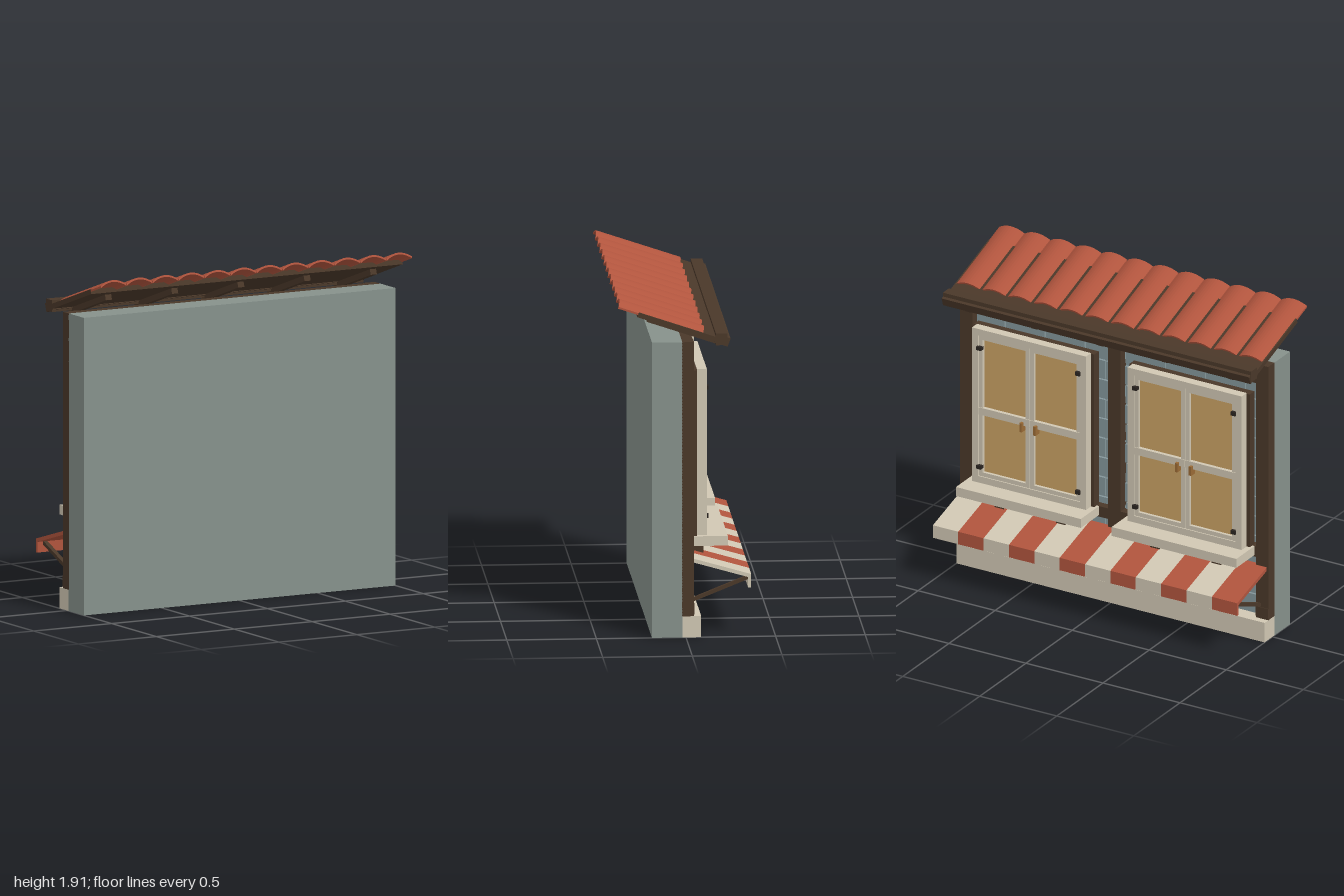
import * as THREE from 'three';

const mat = (name, color, side = THREE.FrontSide) => {
  const m = new THREE.MeshStandardMaterial({ color, side });
  m.name = name;
  return m;
};

export function createModel() {
  const model = new THREE.Group();
  model.name = 'shopFacade';

  const plaster = mat('plaster', 0x86918b);
  const brick = mat('brick', 0x84969a);
  const timber = mat('timber', 0x4a3829);
  const cream = mat('cream', 0xd0c7b3);
  const red = mat('terracotta', 0xb0543d);
  const pane = mat('pane', 0xcaa264);
  const iron = mat('iron', 0x2a2420);
  const brass = mat('brass', 0x9a6a35);

  const add = (parent, name, geometry, material) => {
    const m = new THREE.Mesh(geometry, material);
    m.name = name;
    parent.add(m);
    return m;
  };
  // Box given by its limits on each axis
  const box = (parent, name, material, [x0, x1], [y0, y1], [z0, z1]) => {
    const m = add(parent, name, new THREE.BoxGeometry(x1 - x0, y1 - y0, z1 - z0), material);
    m.position.set((x0 + x1) / 2, (y0 + y1) / 2, (z0 + z1) / 2);
    return m;
  };
  // Rectangular frame with an opening, from z0 to z1
  const frame = (parent, name, material, [x0, x1], [y0, y1], [z0, z1], w) => {
    const rect = (s, a, b, c, d) => s.moveTo(a, c).lineTo(b, c).lineTo(b, d).lineTo(a, d).closePath();
    const shape = rect(new THREE.Shape(), x0, x1, y0, y1);
    shape.holes.push(rect(new THREE.Path(), x0 + w, x1 - w, y0 + w, y1 - w));
    const g = new THREE.ExtrudeGeometry(shape, { depth: z1 - z0, bevelEnabled: false });
    g.translate(0, 0, z0);
    return add(parent, name, g, material);
  };

  // Wall and plinth
  box(model, 'wall', plaster, [-1, 1], [0, 1.68], [0.02, 0.19]);
  box(model, 'plinth', cream, [-1, 1], [0, 0.12], [-0.085, 0.02]);

  // Staggered brick courses between the posts
  const bricks = new THREE.Group();
  bricks.name = 'bricks';
  model.add(bricks);
  const course = 0.12, length = 0.26, gap = 0.008;
  for (let r = 0; r < 12; r++) {
    const y = 0.12 + r * course;
    for (let x = -0.95 - (r % 2) * length / 2; x < 0.95; x += length) {
      const a = Math.max(x, -0.95), b = Math.min(x + length, 0.95) - gap;
      if (b - a > 0.02) box(bricks, 'brick', brick, [a, b], [y, y + course - gap], [0.003, 0.022]);
    }
  }

  // Timber framing
  for (const x of [-0.96, 0, 0.96]) {
    box(model, 'post', timber, [x - 0.04, x + 0.04], [0.12, 1.68], [-0.045, 0.022]);
    box(model, 'postBase', timber, [x - 0.04, x + 0.04], [0.13, 0.19], [-0.048, 0.022]);
  }
  box(model, 'topBeam', timber, [-0.999, 0.999], [1.56, 1.679], [-0.043, 0.021]);
  box(model, 'middleRail', timber, [-0.999, 0.999], [0.49, 0.555], [-0.043, 0.021]);

  // Pair of windows
  for (const s of [-1, 1]) {
    const w = new THREE.Group();
    w.name = s > 0 ? 'leftWindow' : 'rightWindow';
    w.position.x = s * 0.505;
    model.add(w);
    frame(w, 'backFrame', timber, [-0.39, 0.39], [0.555, 1.495], [-0.07, -0.02], 0.06);
    frame(w, 'outerFrame', cream, [-0.37, 0.37], [0.555, 1.5], [-0.125, -0.07], 0.04);
    box(w, 'pane', pane, [-0.34, 0.34], [0.59, 1.46], [-0.1, -0.075]);
    for (const k of [-1, 1]) {
      const xs = k > 0 ? [0.002, 0.33] : [-0.33, -0.002];
      frame(w, 'sash', cream, xs, [0.595, 1.46], [-0.118, -0.095], 0.025);
      box(w, 'glazingBar', cream, xs, [0.973, 1.017], [-0.122, -0.095]);
      for (const y of [0.655, 1.385])
        box(w, 'hinge', iron, [k * 0.32 - 0.015, k * 0.32 + 0.015], [y - 0.011, y + 0.011], [-0.138, -0.11]);
      box(w, 'handle', brass, [k * 0.045 - 0.008, k * 0.045 + 0.008], [0.94, 0.995], [-0.142, -0.1]);
      // Brackets under the sill
      box(w, 'sillBracket', timber, [k * 0.2 - 0.03, k * 0.2 + 0.03], [0.41, 0.5], [-0.115, -0.04]);
    }
    box(w, 'sill', cream, [-0.405, 0.405], [0.5, 0.555], [-0.24, -0.04]);
  }

  // Striped awning: each strip is one bent profile of slope and valance
  const profile = new THREE.Shape();
  [[-0.03, 0.448], [-0.365, 0.352], [-0.365, 0.275], [-0.348, 0.275], [-0.348, 0.335], [-0.03, 0.426]]
    .forEach(([z, y], i) => (i ? profile.lineTo(-z, y) : profile.moveTo(-z, y)));
  const strip = 1.975 / 12;
  const stripGeometry = new THREE.ExtrudeGeometry(profile, { depth: strip, bevelEnabled: false });
  stripGeometry.rotateY(Math.PI / 2);
  for (let i = 0; i < 12; i++)
    add(model, 'awningStrip', stripGeometry, i % 2 ? cream : red).position.x = -0.99 + i * strip;

  // Awning struts
  for (const x of [-0.94, 0.94]) {
    const dz = 0.31, dy = 0.125;
    const strut = add(model, 'awningStrut', new THREE.BoxGeometry(0.025, 0.02, Math.hypot(dz, dy)), timber);
    strut.position.set(x, 0.265, -0.195);
    strut.rotation.x = Math.atan2(dy, dz);
  }

  // Roof, built flat and then tilted
  const roof = new THREE.Group();
  roof.name = 'roof';
  roof.position.y = 1.764;
  roof.rotation.x = -0.325;
  model.add(roof);
  box(roof, 'roofBoard', timber, [-1, 1], [-0.028, 0], [-0.22, 0.277]);
  for (let i = -2; i <= 2; i++)
    box(roof, 'rafter', timber, [i * 0.425 - 0.02, i * 0.425 + 0.02], [-0.06, -0.027], [-0.235, 0.2]);

  // Arched roof tiles
  const pitch = 2 / 12, half = pitch / 2 - 0.002, rise = 0.028, n = 10;
  const arch = new THREE.Shape();
  const height = (u) => 0.024 - rise * u * u;
  arch.moveTo(-half, height(1) - 0.011);
  for (let i = 1; i <= n; i++) arch.lineTo(half * (2 * i / n - 1), height(2 * i / n - 1) - 0.011);
  for (let i = n; i >= 0; i--) arch.lineTo(half * (2 * i / n - 1), height(2 * i / n - 1));
  const tileGeometry = new THREE.ExtrudeGeometry(arch, { depth: 0.498, bevelEnabled: false });
  tileGeometry.translate(0, 0, -0.103);
  for (let i = 0; i < 12; i++)
    add(roof, 'roofTile', tileGeometry, red).position.x = -1 + (i + 0.5) * pitch;

  // Eaves beam with its moulding
  box(model, 'eavesBeam', timber, [-1, 1], [1.66, 1.727], [-0.232, -0.167]);
  const moulding = box(model, 'eavesMoulding', timber, [-0.998, 0.998], [1.662, 1.712], [-0.243, -0.163]);
  moulding.rotation.x = -0.325;

  return model;
}
